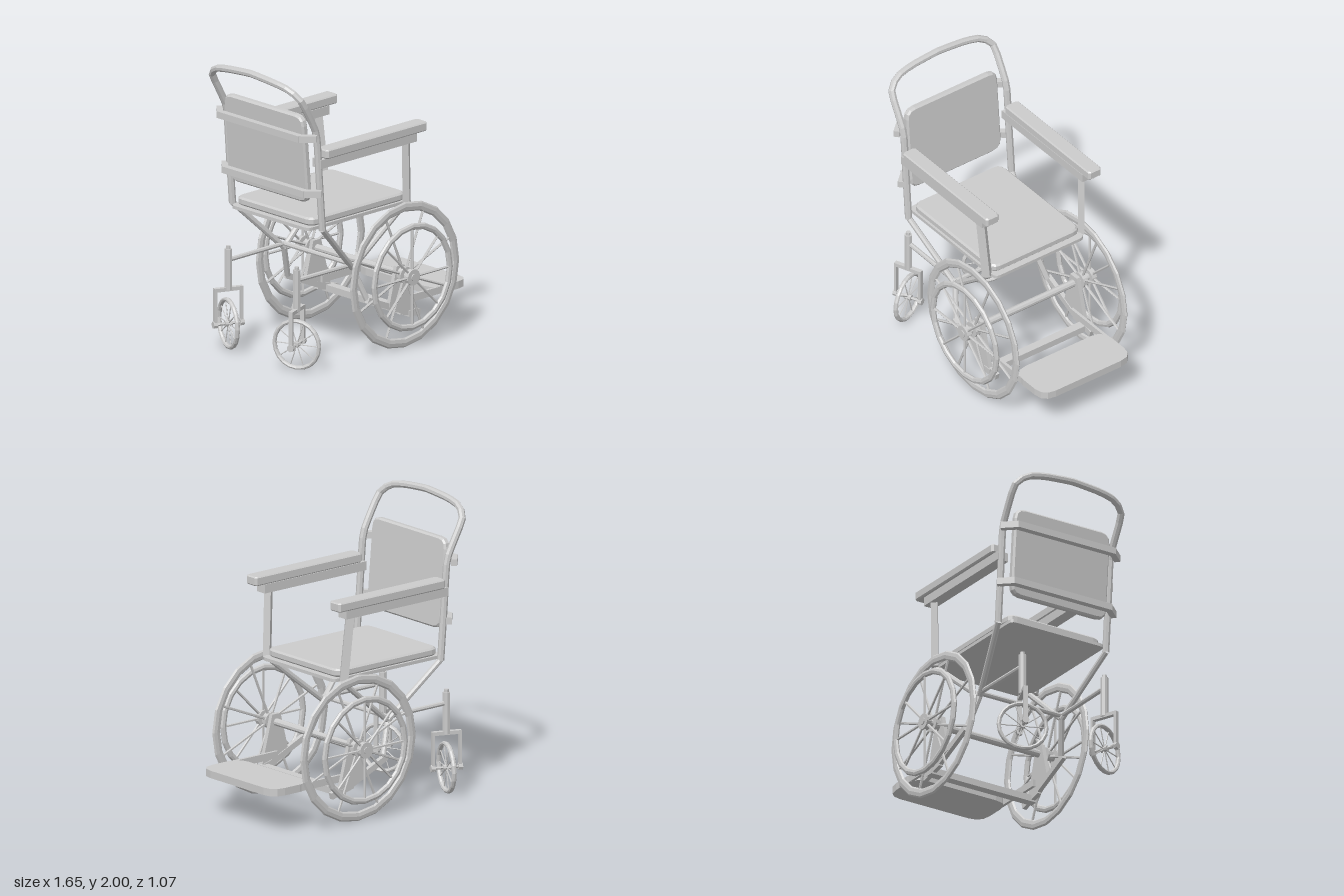
import * as THREE from 'three';

const mat = new THREE.MeshStandardMaterial({ color: 0xcccccc, flatShading: true });
const V = (x, y, z) => new THREE.Vector3(x, y, z);

export function createModel() {
  const root = new THREE.Group();

  const add = (name, geo, pos = [0, 0, 0], parent = root) => {
    const m = new THREE.Mesh(geo, mat);
    m.name = name;
    m.position.set(...pos);
    parent.add(m);
    return m;
  };
  // rectangular bar between two points
  const beam = (name, a, b, w, h, parent = root) => {
    const m = add(name, new THREE.BoxGeometry(w, h, a.distanceTo(b)), a.clone().lerp(b, 0.5).toArray(), parent);
    m.lookAt(b);
    return m;
  };
  // round bar between two points
  const rod = (name, a, b, r, sides = 8, parent = root) => {
    const m = add(name, new THREE.CylinderGeometry(r, r, a.distanceTo(b), sides), a.clone().lerp(b, 0.5).toArray(), parent);
    m.quaternion.setFromUnitVectors(V(0, 1, 0), b.clone().sub(a).normalize());
    return m;
  };
  // plate with rounded corners, centred, thickness along z
  const plate = (w, h, t, r, bevel, steps = 3) => {
    const x = w / 2 - bevel, y = h / 2 - bevel, s = new THREE.Shape();
    s.moveTo(-x + r, -y);
    s.lineTo(x - r, -y); s.quadraticCurveTo(x, -y, x, -y + r);
    s.lineTo(x, y - r); s.quadraticCurveTo(x, y, x - r, y);
    s.lineTo(-x + r, y); s.quadraticCurveTo(-x, y, -x, y - r);
    s.lineTo(-x, -y + r); s.quadraticCurveTo(-x, -y, -x + r, -y);
    return new THREE.ExtrudeGeometry(s, {
      depth: t - 2 * bevel, curveSegments: steps, bevelEnabled: bevel > 0,
      bevelThickness: bevel, bevelSize: bevel, bevelSegments: 1,
    }).translate(0, 0, -t / 2 + bevel);
  };
  // ring with an oval section, plus spokes, in the xy plane
  const spokedRing = (name, outer, radial, width, segs, spokes, phase, r, parent) => {
    const R = outer - radial / 2;
    add(name + 'Rim', new THREE.TorusGeometry(R, radial / 2, 8, segs).scale(1, 1, width / radial), [0, 0, 0], parent);
    for (let i = 0; i < spokes; i++) {
      const a = phase + (i / spokes) * Math.PI * 2;
      rod(name + 'Spoke', V(0, 0, 0), V(Math.cos(a) * R, Math.sin(a) * R, 0), r, 5, parent);
    }
  };

  // seat
  add('seatBoard', plate(0.94, 0.73, 0.022, 0.04, 0).rotateX(-Math.PI / 2), [-0.165, 0.955, 0]);
  add('seatCushion', plate(0.87, 0.715, 0.055, 0.05, 0.012).rotateX(-Math.PI / 2), [-0.165, 0.993, 0]);

  // leaning backrest
  const back = add('backCushion', plate(0.74, 0.605, 0.05, 0.06, 0.012).rotateY(Math.PI / 2), [-0.645, 1.44, 0]);
  back.rotation.z = 0.085;

  // back rails, bent forward around the posts at both ends
  for (const [x, y] of [[-0.72, 1.6], [-0.675, 1.215]]) {
    beam('backRail', V(x, y, -0.38), V(x, y, 0.38), 0.045, 0.045);
    for (const s of [-1, 1]) beam('backRailEnd', V(x - 0.005, y, s * 0.365), V(x + 0.075, y, s * 0.455), 0.04, 0.045);
  }

  // continuous push handle with its two posts
  const half = [[-0.56, 0.95, 0.42], [-0.587, 1.28, 0.42], [-0.615, 1.62, 0.42], [-0.72, 1.82, 0.42],
    [-0.755, 1.88, 0.41], [-0.785, 1.935, 0.345], [-0.798, 1.96, 0.22]];
  const pts = [...half.map(p => V(...p)), V(-0.8, 1.977, 0), ...half.slice().reverse().map(([x, y, z]) => V(x, y, -z))];
  const path = new THREE.CatmullRomCurve3(pts, false, 'catmullrom', 0.2);
  add('pushHandle', new THREE.TubeGeometry(path, 44, 0.024, 8));
  
  // through axle
  rod('axle', V(0.165, 0.495, -0.52), V(0.165, 0.495, 0.52), 0.025, 10);

  for (const s of [-1, 1]) {
    // armrest
    add('armrestPad', plate(0.915, 0.105, 0.062, 0.01, 0.008, 1).rotateX(-Math.PI / 2), [-0.108, 1.475, s * 0.418]);
    add('armrestBoard', new THREE.BoxGeometry(0.87, 0.06, 0.08), [-0.165, 1.413, s * 0.41]);
    beam('armrestPost', V(0.238, 0.95, s * 0.385), V(0.205, 1.4, s * 0.41), 0.045, 0.055);

    // seat frame struts
    const knee = V(-0.19, 0.59, s * 0.32);
    rod('rearStrut', V(-0.56, 0.955, s * 0.42), knee, 0.02);
    rod('frontStrut', V(0.25, 0.95, s * 0.36), knee, 0.02);
    rod('casterArm', V(-0.69, 0.615, s * 0.315), V(-0.18, 0.615, s * 0.32), 0.016);
    rod('lowerStrut', knee, V(-0.11, 0.37, s * 0.37), 0.02);
    beam('lowerRail', V(-0.12, 0.37, s * 0.385), V(0.2, 0.23, s * 0.385), 0.03, 0.04);
    beam('lowerRailEnd', V(0.17, 0.235, s * 0.385), V(0.35, 0.19, s * 0.385), 0.03, 0.045);

    // triangular axle bracket
    const tri = new THREE.Shape([[0.13, 0.55], [0.2, 0.55], [0.29, 0.21], [0.06, 0.28]].map(p => new THREE.Vector2(...p)));
    add('axleBracket', new THREE.ExtrudeGeometry(tri, { depth: 0.028, bevelEnabled: false }), [0, 0, s * 0.39 - 0.014]);

    // footrest arm
    beam('footrestArm', V(0.18, 0.285, s * 0.352), V(0.58, 0.285, s * 0.352), 0.02, 0.048);

    // drive wheel and hand ring
    const wheel = new THREE.Group();
    wheel.name = 'driveWheel';
    wheel.position.set(0.165, 0.495, s * 0.44);
    root.add(wheel);
    spokedRing('wheel', 0.495, 0.065, 0.028, 20, 8, Math.PI / 8, 0.009, wheel);
    const ring = new THREE.Group();
    ring.name = 'handRing';
    ring.position.set(0.165, 0.495, s * 0.51);
    root.add(ring);
    spokedRing('handRing', 0.365, 0.045, 0.034, 20, 8, 0, 0.009, ring);
    rod('wheelHub', V(0, 0, -0.018), V(0, 0, 0.018), 0.055, 14, wheel);
    rod('handRingHub', V(0, 0, -0.018), V(0, 0, 0.018), 0.055, 14, ring);
    rod('hubCap', V(0, 0, 0), V(0, 0, s * 0.025), 0.025, 10, ring);

    // swivelling caster
    const caster = new THREE.Group();
    caster.name = 'caster';
    caster.position.set(-0.695, 0, s * 0.32);
    caster.rotation.y = s * 0.38;
    root.add(caster);
    rod('casterStem', V(0, 0.41, 0), V(0, 0.69, 0), 0.026, 8, caster);
    rod('casterStemCap', V(0, 0.69, 0), V(0, 0.71, 0), 0.016, 8, caster);
    beam('forkCrown', V(-0.1, 0.415, 0), V(0.1, 0.415, 0), 0.03, 0.025, caster);
    for (const side of [-1, 1]) {
      add('forkArm', new THREE.BoxGeometry(0.018, 0.26, 0.03), [side * 0.092, 0.29, 0], caster);
      rod('forkNut', V(side * 0.08, 0.18, 0), V(side * 0.108, 0.18, 0), 0.024, 8, caster);
    }
    rod('casterAxle', V(-0.1, 0.18, 0), V(0.1, 0.18, 0), 0.01, 6, caster);
    const small = new THREE.Group();
    small.name = 'casterWheel';
    small.position.y = 0.18;
    small.rotation.y = Math.PI / 2;
    caster.add(small);
    spokedRing('casterWheel', 0.173, 0.028, 0.034, 20, 10, 0, 0.004, small);
    rod('casterHub', V(0, 0, -0.025), V(0, 0, 0.025), 0.02, 8, small);
  }

  // cross members
  rod('frameCrossbar', V(-0.19, 0.615, -0.32), V(-0.19, 0.615, 0.32), 0.017);
  beam('lowerCrossbar', V(0.27, 0.205, -0.41), V(0.27, 0.205, 0.41), 0.06, 0.045);

  // footplate
  add('footplate', plate(0.33, 0.73, 0.05, 0.1, 0).rotateX(-Math.PI / 2), [0.66, 0.285, 0]);

  return root;
}
